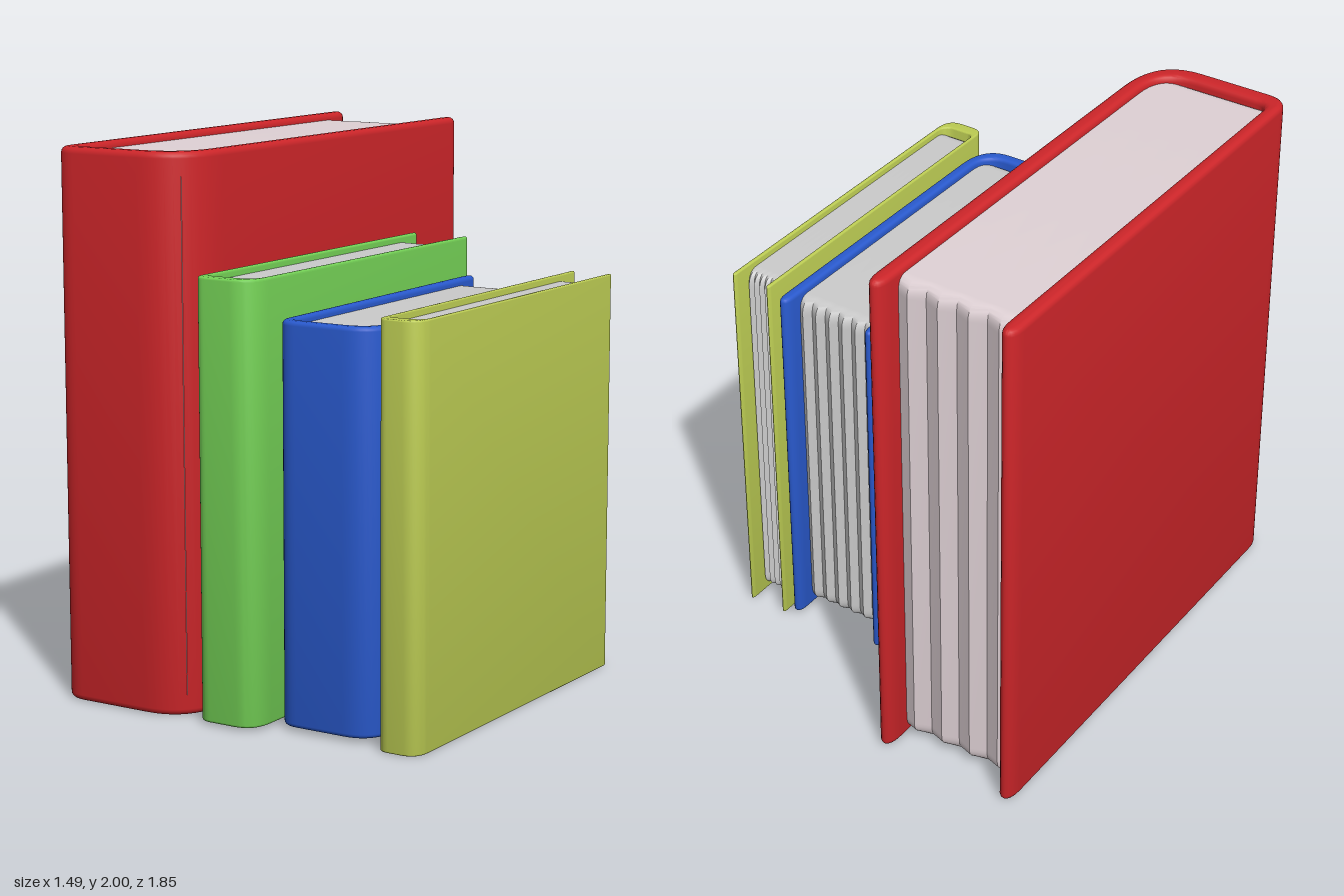
import * as THREE from 'three';
import { toCreasedNormals } from 'three/addons/utils/BufferGeometryUtils.js';

// x0..x1: width, y0..y1: height, back..front: depth, t: board thickness, spine: spine thickness,
// rl / rr: spine corner radii, taper: left board lean, edge: fore-edge of the pages, teeth: page ridges
const BOOKS = [
  { name: 'redBook', color: 0xcc2529, paper: 0xe0d2d6, x0: -0.745, x1: -0.16, y0: 0, y1: 2, back: -0.925, front: 0.92,
    t: 0.064, spine: 0.072, rl: 0.09, rr: 0.2, taper: 0.02, edge: -0.84, teeth: 4, ridge: 0.024 },
  { name: 'greenBook', color: 0x73cf55, paper: 0xcccccc, x0: -0.135, x1: 0.115, y0: 0.01, y1: 1.585, back: -0.54, front: 0.92,
    t: 0.025, spine: 0.052, rl: 0.05, rr: 0.09, taper: 0.01, edge: -0.47, teeth: 6, ridge: 0.018 },
  { name: 'blueBook', color: 0x2959cc, paper: 0xcccccc, x0: 0.13, x1: 0.55, y0: 0.015, y1: 1.445, back: -0.5, front: 0.83,
    t: 0.044, spine: 0.05, rl: 0.08, rr: 0.13, taper: 0.02, edge: -0.435, teeth: 6, ridge: 0.018 },
  { name: 'yellowBook', color: 0xbccc53, paper: 0xcccccc, x0: 0.572, x1: 0.74, y0: 0, y1: 1.49, back: -0.515, front: 0.86,
    t: 0.016, spine: 0.05, rl: 0.045, rr: 0.065, taper: 0.005, edge: -0.45, teeth: 6, ridge: 0.015 },
];

function part(name, geometry, color) {
  const mesh = new THREE.Mesh(toCreasedNormals(geometry, 0.55), new THREE.MeshStandardMaterial({ color }));
  mesh.name = name;
  return mesh;
}

// U-shaped cover outline, extruded upwards with rounded rims
function cover(b) {
  const { x0, x1, t, rl, rr, taper } = b;
  const B = -b.back, F = -b.front, inner = F + b.spine;
  const left = x0 + taper, innerLeft = x0 + t + taper / 2, innerRight = x1 - t;
  const ril = rl * 0.6, rir = rr * 0.75;
  const s = new THREE.Shape();
  s.moveTo(x0, B - t);
  s.lineTo(left, F + rl);
  s.quadraticCurveTo(left, F, left + rl, F);
  s.lineTo(x1 - rr, F);
  s.quadraticCurveTo(x1, F, x1, F + rr * 1.2);
  s.lineTo(x1, B - t);
  s.bezierCurveTo(x1, B + t / 3, innerRight, B + t / 3, innerRight, B - t);
  s.lineTo(innerRight, inner + rir);
  s.quadraticCurveTo(innerRight, inner, innerRight - rir, inner);
  s.lineTo(innerLeft + ril, inner);
  s.quadraticCurveTo(innerLeft, inner, innerLeft, inner + ril);
  s.lineTo(x0 + t, B - t);
  s.bezierCurveTo(x0 + t, B + t / 3, x0, B + t / 3, x0, B - t);

  const bevel = t * 0.35;
  const g = new THREE.ExtrudeGeometry(s, {
    depth: b.y1 - b.y0 - 2 * bevel, curveSegments: 10,
    bevelSize: bevel, bevelThickness: bevel, bevelOffset: -bevel, bevelSegments: 4,
  });
  g.rotateX(-Math.PI / 2);
  g.translate(0, b.y0 + bevel, 0);
  return part('cover', g, b.color);
}

// Rounded page profile extruded across the book, fore-edge folded into ridges
function pages(b) {
  const gap = 0.025, r = 0.06;
  const lo = b.y0 + gap, hi = b.y1 - gap;
  const u0 = -(b.front - b.spine * 0.8), u1 = -b.edge;
  const s = new THREE.Shape();
  s.moveTo(u0 + r, lo);
  s.lineTo(u1 - r, lo);
  s.quadraticCurveTo(u1, lo, u1, lo + r);
  s.lineTo(u1, hi - r);
  s.quadraticCurveTo(u1, hi, u1 - r, hi);
  s.lineTo(u0 + r, hi);
  s.quadraticCurveTo(u0, hi, u0, hi - r);
  s.lineTo(u0, lo + r);
  s.quadraticCurveTo(u0, lo, u0 + r, lo);

  const start = b.x0 + b.t * 0.8, width = b.x1 - b.t * 0.8 - start, steps = b.teeth * 2;
  const g = new THREE.ExtrudeGeometry(s, { depth: width, steps, curveSegments: 8, bevelEnabled: false });
  g.rotateY(Math.PI / 2);
  const p = g.attributes.position;
  for (let i = 0; i < p.count; i++) {
    const valley = Math.round((p.getX(i) / width) * steps) % 2 === 0;
    const weight = THREE.MathUtils.clamp((b.edge + r - p.getZ(i)) / r, 0, 1);
    if (valley) p.setZ(i, p.getZ(i) + b.ridge * weight);
  }
  g.translate(start, 0, 0);
  return part('pages', g, b.paper);
}

export function createModel() {
  const model = new THREE.Group();
  model.name = 'bookRow';
  for (const b of BOOKS) {
    const book = new THREE.Group();
    book.name = b.name;
    book.add(cover(b), pages(b));
    model.add(book);
  }
  return model;
}
